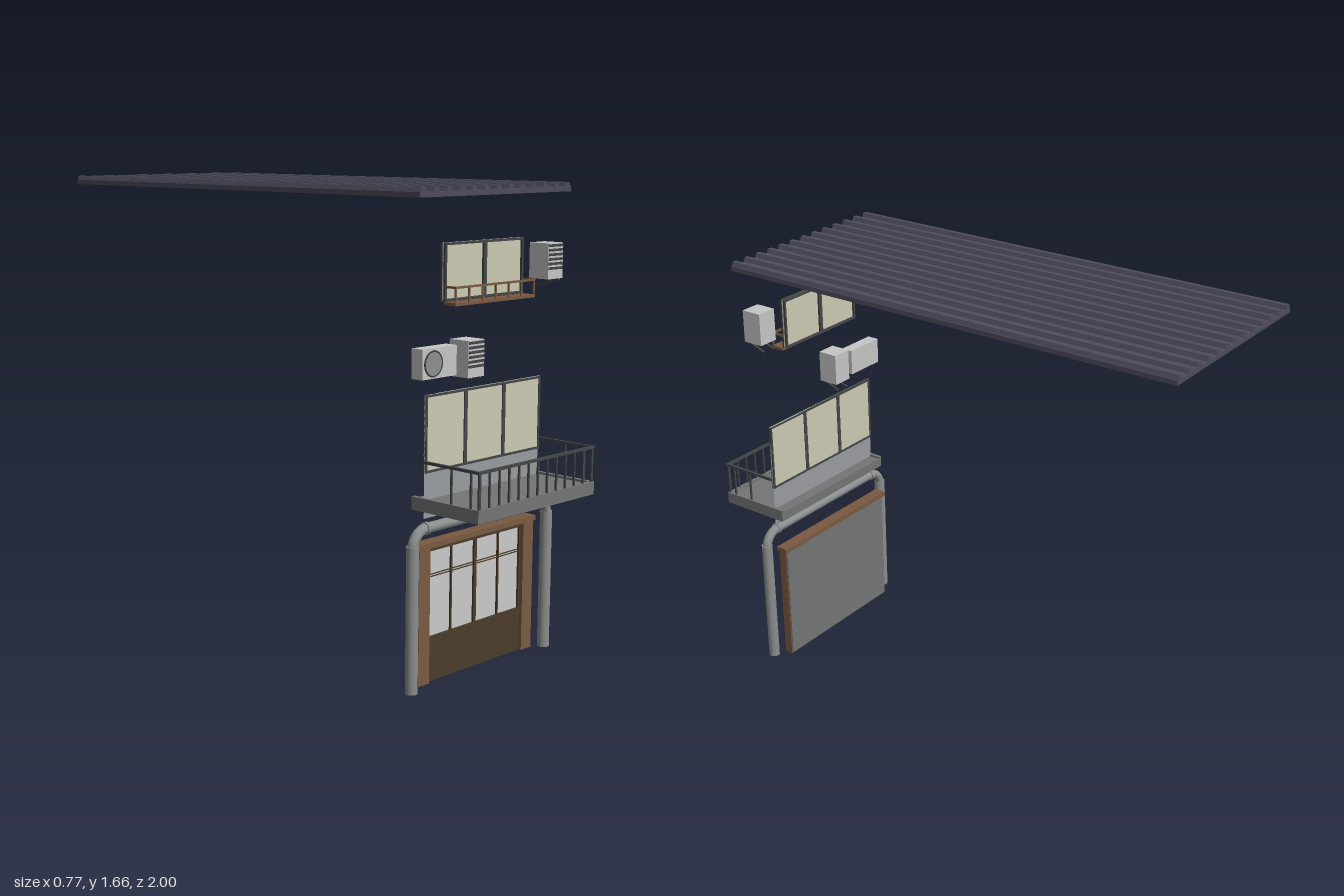
import * as THREE from 'three';

const mat = (name, color, side = THREE.FrontSide) => {
  const m = new THREE.MeshStandardMaterial({ color, side });
  m.name = name;
  return m;
};

export function createModel() {
  const M = {
    roof: mat('slate roof', 0x4e4c5e),
    cream: mat('cream pane', 0xcccab4),
    glass: mat('pale glass', 0xcacacc),
    brown: mat('brown wood', 0x7a5a42),
    door: mat('dark wood', 0x4c3d29),
    iron: mat('dark iron', 0x444648),
    slab: mat('concrete', 0x747676),
    pipe: mat('pipe grey', 0x8c8f8f),
    unit: mat('light casing', 0xc6c6c6),
    wall: mat('wall grey', 0x999c9f, THREE.DoubleSide),
  };
  const root = new THREE.Group();
  root.name = 'shopfrontParts';

  const group = (name) => {
    const g = new THREE.Group();
    g.name = name;
    root.add(g);
    return g;
  };
  const add = (g, name, geo, m, x = 0, y = 0, z = 0) => {
    const mesh = new THREE.Mesh(geo, m);
    mesh.name = name;
    mesh.position.set(x, y, z);
    g.add(mesh);
    return mesh;
  };
  // Box given by its minimum and maximum on each axis
  const box = (g, name, m, x0, x1, y0, y1, z0, z1) =>
    add(g, name, new THREE.BoxGeometry(x1 - x0, y1 - y0, z1 - z0), m,
      (x0 + x1) / 2, (y0 + y1) / 2, (z0 + z1) / 2);

  // Ribbed roof: one cross-section drawn along z
  const roof = group('roof');
  const s = new THREE.Shape();
  s.moveTo(-0.385, 1.626);
  s.lineTo(0.385, 1.626);
  s.lineTo(0.385, 1.643);
  for (let i = 6; i >= -6; i--) {
    const x = i * 0.0612;
    s.lineTo(x + 0.014, 1.643);
    s.lineTo(x + 0.008, 1.658);
    s.lineTo(x - 0.008, 1.658);
    s.lineTo(x - 0.014, 1.643);
  }
  s.lineTo(-0.385, 1.643);
  s.closePath();
  add(roof, 'ribbedSheet', new THREE.ExtrudeGeometry(s, { depth: 1.81, bevelEnabled: false }), M.roof, 0, 0, -1);

  // Window with a row of panes
  const makeWindow = (name, w, y0, y1, z0, z1, panes) => {
    const g = group(name);
    const t = 0.008, zm = (z0 + z1) / 2;
    box(g, 'panes', M.cream, -w, w, y0, y1, zm - 0.003, zm + 0.003);
    for (const y of [y0, y1 - t]) box(g, 'frameRail', M.iron, -w, w, y, y + t, z0, z1);
    for (let i = 0; i <= panes; i++) {
      const x = -w + (2 * w * i) / panes;
      const h = i === 0 || i === panes ? 0.004 : 0.008;
      const c = i === 0 ? x + h : i === panes ? x - h : x;
      box(g, 'frameStile', M.iron, c - h, c + h, y0, y1, z0, z1);
    }
  };
  makeWindow('upperWindow', 0.2, 1.285, 1.475, 0.735, 0.757, 2);
  makeWindow('balconyWindow', 0.296, 0.732, 0.99, 0.755, 0.767, 3);

  // Small wooden window rail
  const sill = group('windowRail');
  box(sill, 'sill', M.brown, -0.204, 0.204, 1.274, 1.284, 0.755, 0.806);
  box(sill, 'handrail', M.brown, -0.204, 0.204, 1.33, 1.337, 0.799, 0.806);
  for (const x of [-0.201, 0.201]) box(sill, 'sideRail', M.brown, x - 0.003, x + 0.003, 1.33, 1.337, 0.755, 0.8);
  for (let i = -3; i <= 3; i++) {
    const x = i * 0.067;
    box(sill, 'baluster', M.brown, x - 0.003, x + 0.003, 1.284, 1.33, 0.8, 0.805);
  }

  // Slatted air units on sloping brackets
  const slattedUnit = (x, y) => {
    const g = group('slattedAirUnit');
    box(g, 'casing', M.unit, x - 0.04, x + 0.04, y, y + 0.122, 0.747, 0.828);
    for (let i = 0; i < 6; i++) {
      const v = y + 0.032 + i * 0.0155;
      box(g, 'slat', M.iron, x - 0.038, x + 0.038, v, v + 0.009, 0.828, 0.83);
    }
    for (const dx of [-0.024, 0.024]) {
      const leg = box(g, 'bracket', M.iron, x + dx - 0.004, x + dx + 0.004, y - 0.018, y - 0.013, 0.747, 0.83);
      leg.rotation.x = -0.34;
    }
  };
  slattedUnit(0.285, 1.333);
  slattedUnit(-0.123, 1.038);

  // Air unit with a round fan
  const fan = group('fanUnit');
  box(fan, 'casing', M.unit, -0.35, -0.185, 1.048, 1.147, 0.75, 0.797);
  const disc = add(fan, 'fanDisc', new THREE.CylinderGeometry(0.041, 0.041, 0.004, 28), M.pipe, -0.3, 1.097, 0.799);
  disc.rotation.x = Math.PI / 2;
  add(fan, 'fanRing', new THREE.TorusGeometry(0.041, 0.003, 6, 28), M.iron, -0.3, 1.097, 0.8);

  // Wall strip behind and below the balcony
  const wall = group('wallStrip');
  add(wall, 'lowWall', new THREE.PlaneGeometry(0.592, 0.152), M.wall, 0, 0.656, 0.761);

  // Balcony tray and railing
  const bal = group('balcony');
  box(bal, 'floor', M.slab, -0.305, 0.305, 0.605, 0.642, 0.715, 1);
  box(bal, 'frontLip', M.slab, -0.305, 0.305, 0.642, 0.65, 0.985, 1);
  for (const k of [-1, 1]) {
    const x = k * 0.2975;
    box(bal, 'sideLip', M.slab, x - 0.0075, x + 0.0075, 0.642, 0.65, 0.715, 0.985);
    box(bal, 'sideRail', M.iron, x - 0.005, x + 0.005, 0.765, 0.774, 0.762, 0.99);
    for (const z of [0.88, 0.962]) box(bal, 'sideBar', M.iron, x - 0.003, x + 0.003, 0.65, 0.765, z - 0.003, z + 0.003);
  }
  box(bal, 'frontRail', M.iron, -0.305, 0.305, 0.765, 0.774, 0.99, 1);
  for (let i = -6; i <= 6; i++) {
    const x = i * 0.0492, r = Math.abs(i) === 6 ? 0.005 : 0.003;
    box(bal, 'frontBar', M.iron, x - r, x + r, 0.65, 0.765, 0.992, 0.998);
  }

  // Arched pipe: bent tube, thicker legs and collars
  const pipe = group('pipeArch');
  const L = -0.358, R = 0.343, Z = 0.77, Y = 0.55, b = 0.062;
  const v = (x, y) => new THREE.Vector3(x, y, Z);
  const path = new THREE.CurvePath();
  path.add(new THREE.LineCurve3(v(L, 0.45), v(L, Y - b)));
  path.add(new THREE.CubicBezierCurve3(v(L, Y - b), v(L, Y - b * 0.45), v(L + b * 0.45, Y), v(L + b, Y)));
  path.add(new THREE.LineCurve3(v(L + b, Y), v(R - b, Y)));
  path.add(new THREE.CubicBezierCurve3(v(R - b, Y), v(R - b * 0.45, Y), v(R, Y - b * 0.45), v(R, Y - b)));
  path.add(new THREE.LineCurve3(v(R, Y - b), v(R, 0.45)));
  add(pipe, 'bentTube', new THREE.TubeGeometry(path, 90, 0.018, 12), M.pipe);
  for (const x of [L, R]) {
    add(pipe, 'leg', new THREE.CylinderGeometry(0.0215, 0.0215, 0.5, 12), M.pipe, x, 0.25, Z);
    const cx = x < 0 ? x + b : x - b;
    add(pipe, 'collar', new THREE.CylinderGeometry(0.022, 0.022, 0.012, 12), M.pipe, cx, Y, Z).rotation.z = Math.PI / 2;
  }

  // Entrance: wooden surround, four glazed leaves, plain back
  const ent = group('entrance');
  for (const k of [-1, 1]) box(ent, 'pillar', M.brown, k * 0.2725 - 0.0275, k * 0.2725 + 0.0275, 0, 0.47, 0.713, 0.747);
  box(ent, 'lintel', M.brown, -0.31, 0.31, 0.468, 0.486, 0.702, 0.749);
  box(ent, 'topFrame', M.door, -0.245, 0.245, 0.455, 0.468, 0.715, 0.74);
  box(ent, 'lowerPanels', M.door, -0.245, 0.245, 0, 0.157, 0.715, 0.735);
  box(ent, 'glazing', M.glass, -0.24, 0.24, 0.157, 0.457, 0.718, 0.728);
  for (const [x, h] of [[-0.241, 0.005], [-0.123, 0.003], [0, 0.007], [0.123, 0.003], [0.241, 0.005]])
    box(ent, 'stile', M.door, x - h, x + h, 0.157, 0.457, 0.72, 0.735);
  for (const y of [0.364, 0.372]) box(ent, 'glazingBar', M.door, -0.24, 0.24, y - 0.0015, y + 0.0015, 0.726, 0.732);
  box(ent, 'backPanel', M.slab, -0.296, 0.296, 0.004, 0.468, 0.709, 0.714);

  return root;
}
